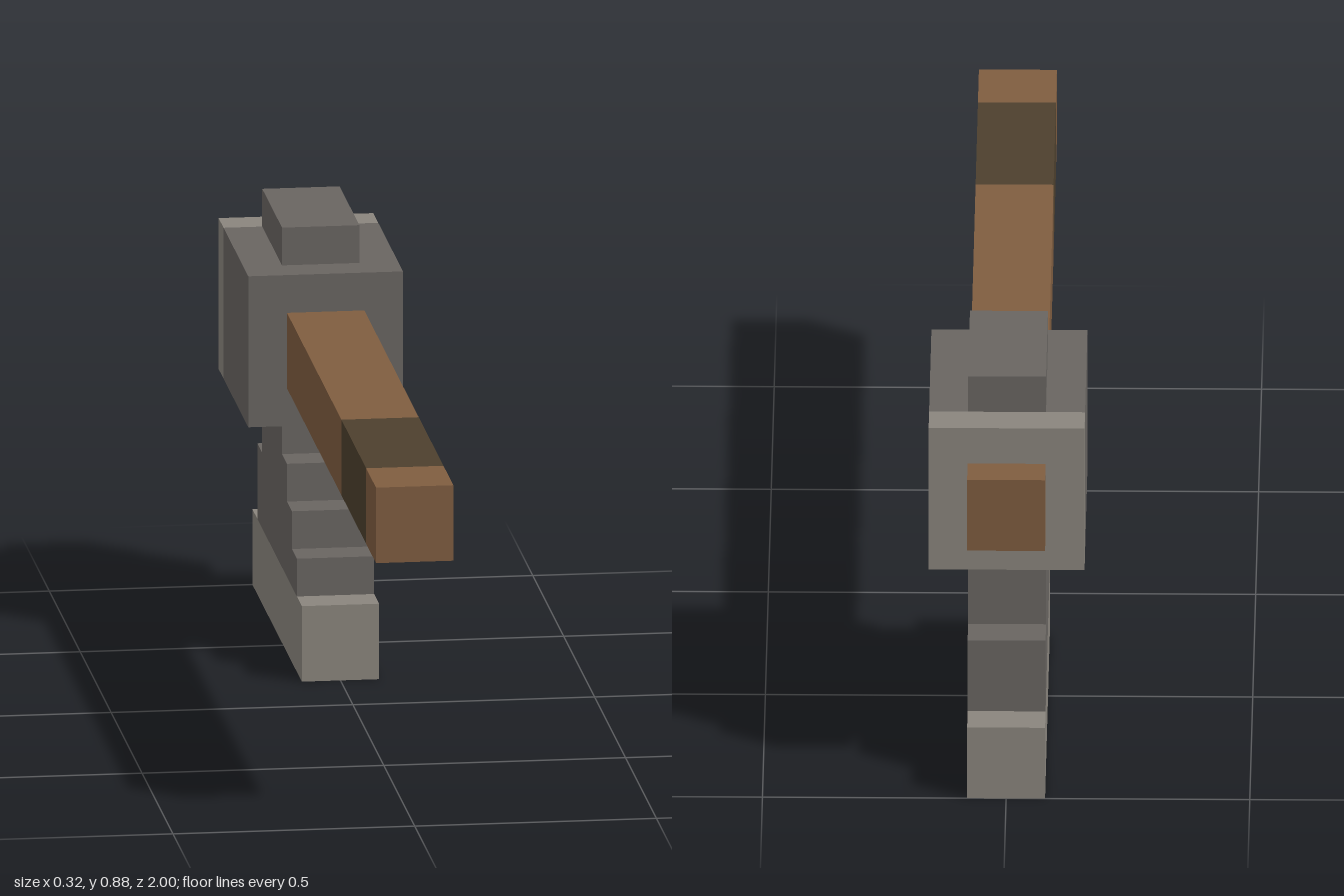
import * as THREE from 'three';

const paint = (name, color) => Object.assign(new THREE.MeshStandardMaterial({ color }), { name });

export function createModel() {
  const wood = paint('wood', 0x7f5d40);
  const wrap = paint('grip wrap', 0x4d402d);
  const stone = paint('dark stone', 0x696561);
  const edge = paint('light stone', 0x8a857d);

  const model = new THREE.Group();
  model.name = 'axe';

  // Box centred on x, given by its width and its y and z ranges
  const block = (name, material, width, [y0, y1], [z0, z1]) => {
    const mesh = new THREE.Mesh(new THREE.BoxGeometry(width, y1 - y0, z1 - z0), material);
    mesh.position.set(0, (y0 + y1) / 2, (z0 + z1) / 2);
    mesh.name = name;
    model.add(mesh);
  };

  // Square handle with a wrapped grip near the front end
  const shaft = [0.56, 0.72];
  block('handleShaft', wood, 0.16, shaft, [-1, 0.44]);
  block('handleGrip', wrap, 0.16, shaft, [0.44, 0.84]);
  block('handleEnd', wood, 0.16, shaft, [0.84, 1]);

  // Head block around the handle, with a paler back and a cap on top
  block('headBlock', stone, 0.32, [0.48, 0.8], [-0.84, -0.44]);
  block('headBack', edge, 0.32, [0.48, 0.8], [-0.92, -0.84]);
  block('headCap', stone, 0.16, [0.8, 0.88], [-0.84, -0.52]);

  // Stepped neck, one silhouette extruded across x (profile runs along -z)
  const profile = [
    [0.28, 0.16], [0.92, 0.16], [0.92, 0.32], [0.84, 0.32], [0.84, 0.48], [0.52, 0.48],
    [0.52, 0.4], [0.44, 0.4], [0.44, 0.32], [0.36, 0.32], [0.36, 0.24], [0.28, 0.24],
  ];
  const shape = new THREE.Shape(profile.map(([u, y]) => new THREE.Vector2(u, y)));
  const neckGeometry = new THREE.ExtrudeGeometry(shape, { depth: 0.16, bevelEnabled: false });
  neckGeometry.translate(0, 0, -0.08).rotateY(Math.PI / 2);
  const neck = new THREE.Mesh(neckGeometry, stone);
  neck.name = 'steppedNeck';
  model.add(neck);

  // Pale cutting edge along the bottom
  block('bladeEdge', edge, 0.16, [0, 0.16], [-1, -0.2]);

  return model;
}
